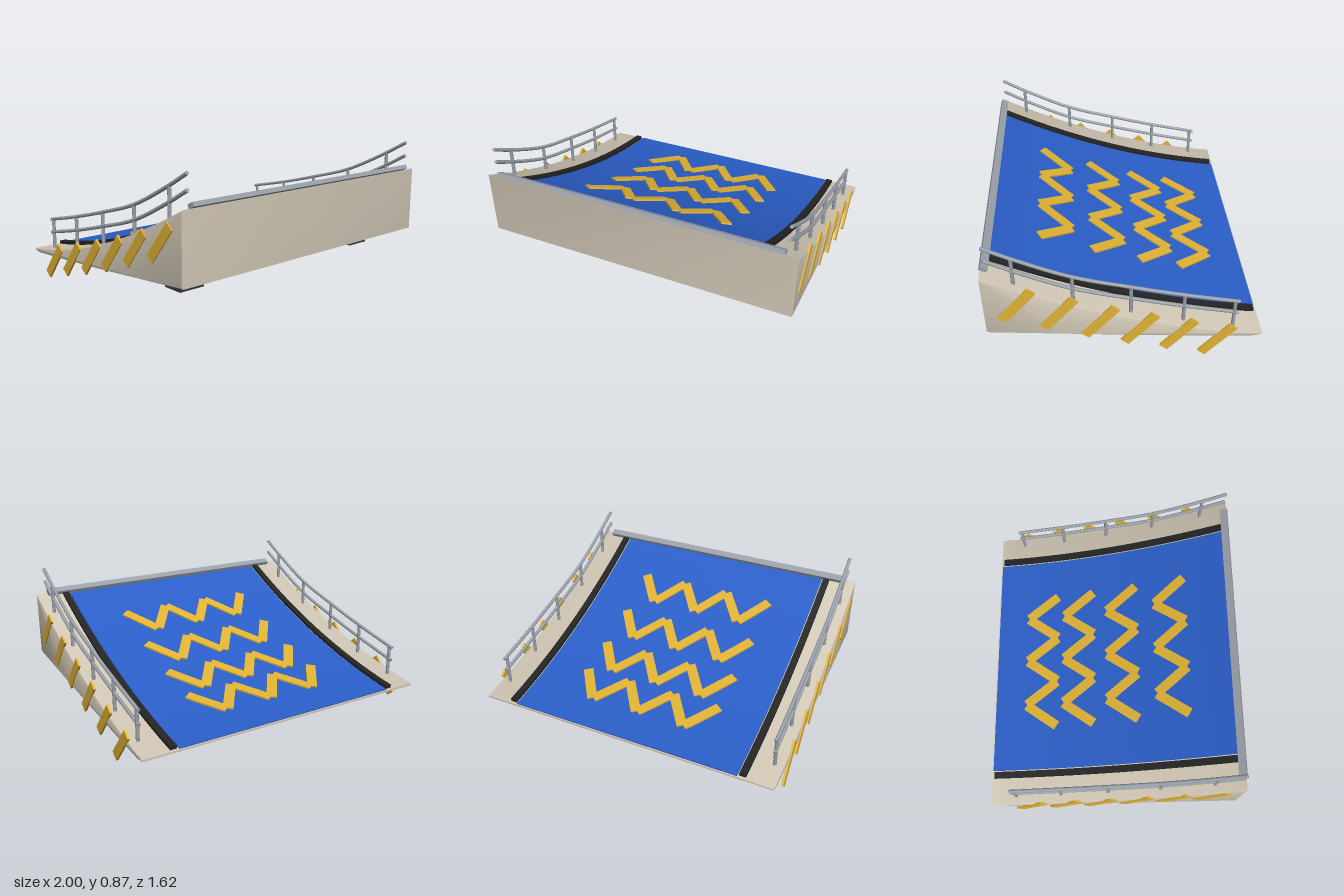
import * as THREE from 'three';
import { toCreasedNormals } from 'three/addons/utils/BufferGeometryUtils.js';

const mat = (color) => new THREE.MeshStandardMaterial({ color });

// Height and slope of the curved riding surface at depth z
const surf = (z) => 0.34 + 0.328 * z + 0.121 * z * z;
const slope = (z) => 0.328 + 0.242 * z;

// Extrudes a side profile given as [z, y] points across the width x0..x1
function acrossWidth(points, x0, x1, bevel = 0) {
  const shape = new THREE.Shape(points.map(([z, y]) => new THREE.Vector2(z, y)));
  const geo = new THREE.ExtrudeGeometry(shape, {
    depth: x1 - x0 - 2 * bevel, bevelEnabled: bevel > 0, bevelSize: bevel,
    bevelOffset: -bevel, bevelThickness: bevel, bevelSegments: 2,
  });
  geo.rotateY(-Math.PI / 2);
  geo.translate(x1 - bevel, 0, 0);
  return toCreasedNormals(geo, 0.4);
}

// Points along the surface, raised by an offset
function along(z0, z1, offset, n = 24) {
  return Array.from({ length: n + 1 }, (_, i) => {
    const z = z0 + ((z1 - z0) * i) / n;
    return [z, surf(z) + offset];
  });
}

// Thin layer following the surface
const layer = (x0, x1, z0, z1, lo, hi) =>
  acrossWidth([...along(z0, z1, lo), ...along(z1, z0, hi)], x0, x1);

export function createModel() {
  const model = new THREE.Group();
  const beige = mat(0xcfc5b3), blue = mat(0x2a5ec8), yellow = mat(0xe0b234);
  const black = mat(0x242424), steel = mat(0x9aa0aa), dark = mat(0x38383e);

  const add = (name, geo, material, parent = model) => {
    const mesh = new THREE.Mesh(geo, material);
    mesh.name = name;
    parent.add(mesh);
    return mesh;
  };

  // Wedge body with a concave top and a gently sloping underside
  const profile = [
    [-0.81, 0.142], [-0.75, 0.133], [-0.4, 0.158], [0, 0.192], [0.4, 0.229], [0.8, 0.268],
    ...along(0.8, -0.81, 0),
  ];
  add('rampBody', acrossWidth(profile, -0.993, 0.993, 0.008), beige);

  // Riding surface
  add('ridingSurface', layer(-0.765, 0.765, -0.803, 0.765, -0.01, 0.007), blue);

  // Coping along the high edge
  const coping = add('coping', new THREE.BoxGeometry(1.84, 0.026, 0.046), steel);
  coping.position.set(0, 0.69, 0.78);
  coping.rotation.x = -Math.atan(slope(0.78));

  // Zigzag rows lying on the riding surface
  for (const z of [-0.48, -0.225, 0.075, 0.4]) {
    const row = new THREE.Group();
    row.name = 'zigzagRow';
    row.position.set(0, surf(z) + 0.006, z);
    row.rotation.x = -Math.atan(slope(z));
    for (let i = 0; i < 6; i++) {
      const bar = add('zigzagBar', new THREE.BoxGeometry(0.065, 0.024, 0.262), yellow, row);
      bar.position.x = -0.4 + i * 0.16;
      bar.rotation.y = (i % 2 ? 1 : -1) * 0.62;
    }
    model.add(row);
  }

  // Handrail line, reused for both heights
  const railLine = [[0.775, 0.857], [0.62, 0.772], [0.3, 0.622], [-0.03, 0.524], [-0.34, 0.443], [-0.665, 0.37]];
  const railCurve = (x, drop) =>
    new THREE.CatmullRomCurve3(railLine.map(([z, y]) => new THREE.Vector3(x, y - drop, z)));

  for (const side of [1, -1]) {
    const x = side * 0.935;

    // Black edge strip
    const inner = side * 0.775, outer = side * 0.817;
    add('edgeStrip', layer(Math.min(inner, outer), Math.max(inner, outer), -0.793, 0.775, -0.01, 0.021), black);

    // Handrail with capped ends
    for (const drop of [0, 0.087]) {
      const curve = railCurve(x, drop);
      add('handrail', new THREE.TubeGeometry(curve, 32, 0.011, 10), steel);
      for (const t of [0, 1]) {
        const cap = add('handrailEnd', new THREE.CircleGeometry(0.011, 10), steel);
        const end = curve.getPoint(t);
        cap.position.copy(end);
        cap.lookAt(end.clone().addScaledVector(curve.getTangent(t), t ? 1 : -1));
      }
    }

    // Handrail posts
    for (const [z, top] of [[0.625, 0.772], [0.3, 0.622], [-0.03, 0.524], [-0.34, 0.443], [-0.64, 0.375]]) {
      const base = surf(z) - 0.01;
      const post = add('handrailPost', new THREE.CylinderGeometry(0.011, 0.011, top - base, 10), steel);
      post.position.set(x, (top + base) / 2, z);
    }

    // Slanted side stripes, leaning opposite ways on the two sides
    const stripes = [[0.615, 0.476], [0.383, 0.398], [0.15, 0.318], [-0.08, 0.247], [-0.31, 0.184], [-0.54, 0.122]];
    for (const [z, y] of stripes) {
      const stripe = add('sideStripe', new THREE.BoxGeometry(0.014, 0.275, 0.06), yellow);
      stripe.position.set(side * 0.993, y, z);
      stripe.rotation.x = -side * 0.7;
    }

    // Feet under the high and low ends
    for (const [fx, fz, fy] of [[0.737, 0.49, 0.173], [0.637, -0.48, 0.168]]) {
      const foot = add('foot', new THREE.BoxGeometry(0.17, 0.044, 0.14), dark);
      foot.position.set(side * fx, fy, fz);
    }
  }
  return model;
}
